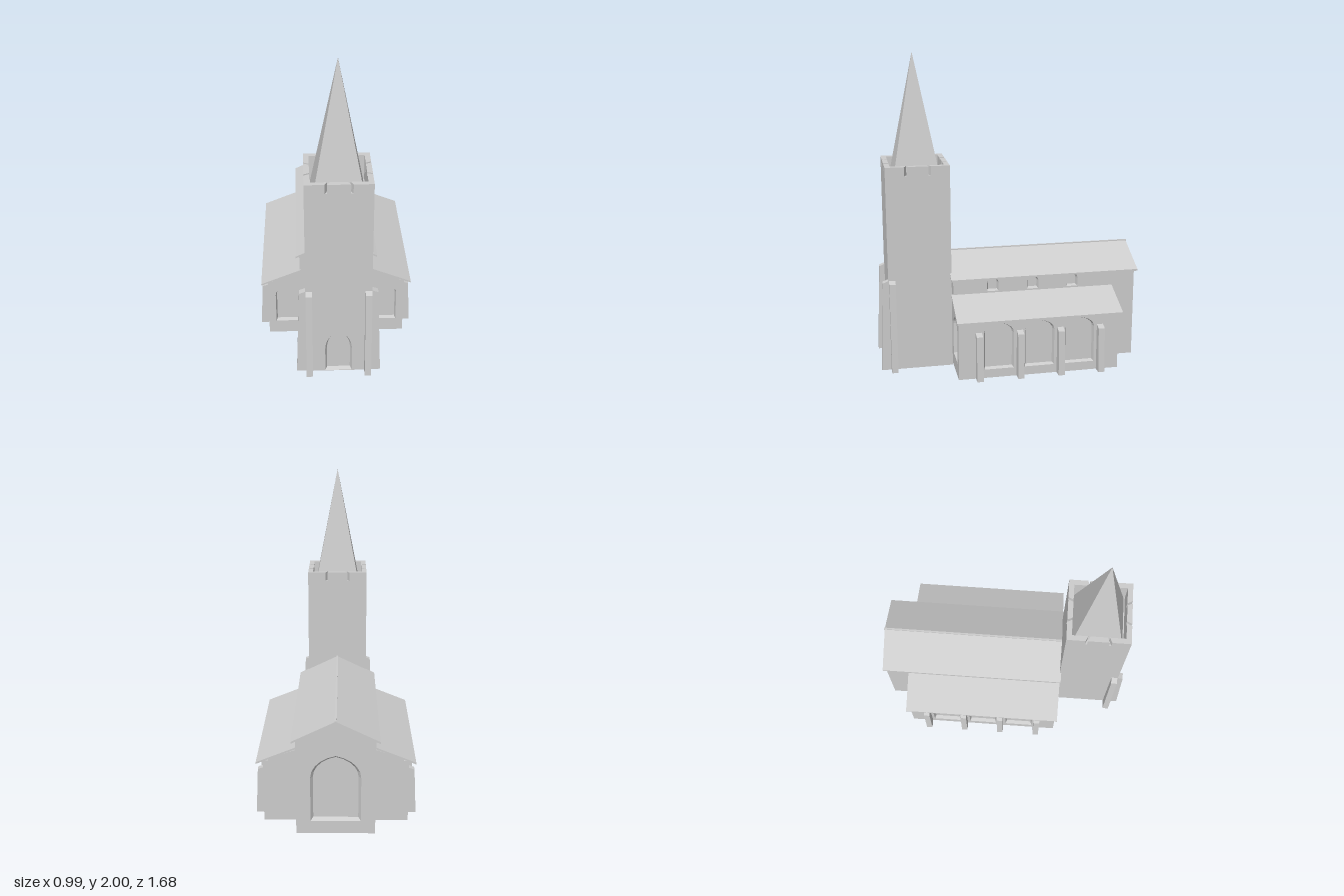
import * as THREE from 'three';
import { mergeGeometries } from 'three/addons/utils/BufferGeometryUtils.js';

const stone = new THREE.MeshStandardMaterial({ color: 0xcccccc, flatShading: true });
const WALL = 0.03, REVEAL = 0.024;

const toShape = pts => new THREE.Shape(pts.map(([x, y]) => new THREE.Vector2(x, y)));

function add(parent, name, geometry, x = 0, y = 0, z = 0, turn = 0) {
  const mesh = new THREE.Mesh(geometry, stone);
  mesh.name = name;
  mesh.position.set(x, y, z);
  mesh.rotation.y = turn;
  parent.add(mesh);
  return mesh;
}

// Extrude an outline in x,y from z0 to z1
function prism(pts, z0, z1, holes = []) {
  const shape = toShape(pts);
  shape.holes = holes.map(h => new THREE.Path(h.map(([x, y]) => new THREE.Vector2(x, y))));
  return new THREE.ExtrudeGeometry(shape, { depth: z1 - z0, bevelEnabled: false }).translate(0, 0, z0);
}

// Counterclockwise outline of an arched opening, shrunk by an inset
function arch(o, inset = 0) {
  const half = o.width / 2 - inset, rise = o.top - inset - o.spring, sill = o.sill + inset;
  const a = THREE.MathUtils.degToRad(o.angle), n = 5, right = [];
  for (let i = 0; i <= n; i++) {
    const t = a * i / n;
    right.push([half * (Math.cos(t) - Math.cos(a)) / (1 - Math.cos(a)), o.spring + rise * Math.sin(t) / Math.sin(a)]);
  }
  const left = right.slice(0, -1).reverse().map(([x, y]) => [-x, y]);
  return [[-half, sill], [half, sill], ...right, ...left].map(([x, y]) => [x + o.u, y]);
}

// Splayed reveal and blind panel of an opening
function niche(o) {
  const outer = arch(o), inner = arch(o, o.inset), pos = [];
  outer.forEach((p, i) => {
    const j = (i + 1) % outer.length;
    const a = [...p, 0], b = [...outer[j], 0], c = [...inner[j], -REVEAL], d = [...inner[i], -REVEAL];
    pos.push(...a, ...b, ...c, ...a, ...c, ...d);
  });
  const reveal = new THREE.BufferGeometry();
  reveal.setAttribute('position', new THREE.Float32BufferAttribute(pos, 3));
  reveal.computeVertexNormals();
  const panel = new THREE.ShapeGeometry(toShape(inner)).toNonIndexed().translate(0, 0, -REVEAL);
  panel.deleteAttribute('uv');
  return mergeGeometries([reveal, panel]);
}

// Wall slab with its outer face on local z = 0, pierced by arched niches
function wall(parent, name, outline, openings, x, z, turn) {
  const group = new THREE.Group();
  group.name = name;
  group.position.set(x, 0, z);
  group.rotation.y = turn;
  add(group, name + 'Slab', prism(outline, -WALL, 0, openings.map(o => arch(o))));
  openings.forEach(o => add(group, o.name, niche(o)));
  parent.add(group);
}

// Tapering buttress with a sloped cap, growing along local +x
function buttress(parent, x, z, turn, foot, head, height) {
  const pts = [[-0.01, 0], [foot, 0], [head, height - 0.014], [0, height], [-0.01, height]];
  add(parent, 'buttress', prism(pts, -0.02, 0.02), x, 0, z, turn);
}

function buildTower() {
  const tower = new THREE.Group();
  tower.name = 'tower';
  tower.position.z = 0.58;
  const floor = 1.16, notch = 1.262, top = 1.32, out = 0.2, inn = 0.167;

  add(tower, 'towerBody', new THREE.BoxGeometry(0.4, floor, 0.37), 0, floor / 2, -0.015);
  wall(tower, 'towerFront', [[-0.2, 0], [0.2, 0], [0.2, floor], [-0.2, floor]],
    [{ name: 'door', u: 0, width: 0.166, sill: 0.003, spring: 0.17, top: 0.308, angle: 60, inset: 0.012 }], 0, 0.2, 0);

  // Parapet ring, then blocks between splayed slits
  const square = h => [[-h, -h], [h, -h], [h, h], [-h, h]];
  add(tower, 'parapetBase', prism(square(out), floor, notch, [square(inn)]).rotateX(-Math.PI / 2));
  const end = s => [[s * out, out], [s * 0.082, out], [s * 0.066, inn], [s * inn, inn]];
  const blocks = [end(-1), [[-0.068, out], [0.068, out], [0.052, inn], [-0.052, inn]], end(1)];
  for (let side = 0; side < 4; side++) {
    blocks.forEach(b => add(tower, 'parapetBlock',
      prism(b, notch, top).rotateX(-Math.PI / 2), 0, 0, 0, side * Math.PI / 2));
  }

  const spireHeight = 2 - floor;
  add(tower, 'spire', new THREE.ConeGeometry(0.16 * Math.SQRT2, spireHeight, 4, 1).rotateY(Math.PI / 4),
    0, floor + spireHeight / 2, 0);

  // Paired buttresses at the two front corners
  for (const s of [-1, 1]) {
    buttress(tower, s * 0.2, 0.176, s > 0 ? 0 : Math.PI, 0.06, 0.038, 0.597);
    buttress(tower, s * 0.18, 0.2, -Math.PI / 2, 0.056, 0.034, 0.597);
  }
  return tower;
}

function buildNave() {
  const nave = new THREE.Group();
  nave.name = 'nave';
  const gable = h => [[-h, 0], [h, 0], [h, 0.708 - 0.48 * h], [0, 0.708], [-h, 0.708 - 0.48 * h]];
  add(nave, 'naveCore', prism(gable(0.205), -0.79, 0.345));

  // Gable end with the great window
  wall(nave, 'backGable', gable(0.235),
    [{ name: 'greatWindow', u: 0, width: 0.3, sill: 0.08, spring: 0.36, top: 0.5, angle: 75, inset: 0.016 }],
    0, -0.82, Math.PI);

  for (const s of [-1, 1]) {
    const windows = [0.12, -0.14, -0.4].map(z => ({
      name: 'upperWindow', u: -s * z, width: 0.074, sill: 0.5, spring: 0.553, top: 0.592, angle: 62, inset: 0.008 }));
    const a = -s * 0.345, b = s * 0.82;
    wall(nave, 'naveSide', [[a, 0], [b, 0], [b, 0.597], [a, 0.597]], windows, s * 0.235, 0, s * Math.PI / 2);
  }

  add(nave, 'naveRoof', prism([[-0.26, 0.595], [0, 0.72], [0.26, 0.595], [0.26, 0.583], [0, 0.708], [-0.26, 0.583]], -0.835, 0.39));
  add(nave, 'ridge', new THREE.BoxGeometry(0.012, 0.014, 1.225), 0, 0.717, -0.2275);
  return nave;
}

function buildAisle(s) {
  const aisle = new THREE.Group();
  aisle.name = s > 0 ? 'leftAisle' : 'rightAisle';
  const mirror = pts => pts.map(([x, y]) => [s * x, y]);
  add(aisle, 'aisleCore', prism(mirror([[0.2, 0], [0.41, 0], [0.41, 0.406], [0.2, 0.48]]), -0.655, 0.345));

  // Front wall, rising beside the tower to the nave eave
  wall(aisle, 'aisleFront',
    mirror([[0.1, 0], [0.412, 0], [0.412, 0.405], [0.235, 0.478], [0.235, 0.595], [0.1, 0.655]]),
    [{ name: 'frontWindow', u: s * 0.305, width: 0.176, sill: 0.09, spring: 0.295, top: 0.362, angle: 78, inset: 0.008 }],
    0, 0.375, 0);

  // Side wall with three arched windows
  const windows = [0.12, -0.14, -0.4].map(z => ({
    name: 'aisleWindow', u: -s * z, width: 0.19, sill: 0.056, spring: 0.295, top: 0.362, angle: 78, inset: 0.009 }));
  const a = -s * 0.375, b = s * 0.655;
  wall(aisle, 'aisleSide', [[a, 0], [b, 0], [b, 0.396], [a, 0.396]], windows, s * 0.44, 0, s * Math.PI / 2);

  add(aisle, 'aisleRoof', prism(mirror([[0.23, 0.492], [0.483, 0.39], [0.483, 0.379], [0.23, 0.48]]), -0.67, 0.387));

  for (let i = 0; i < 4; i++) {
    buttress(aisle, s * 0.44, 0.247 - 0.26 * i, s > 0 ? 0 : Math.PI, 0.056, 0.043, 0.305);
  }
  return aisle;
}

export function createModel() {
  const church = new THREE.Group();
  church.name = 'church';
  church.add(buildTower(), buildNave(), buildAisle(1), buildAisle(-1));
  return church;
}
